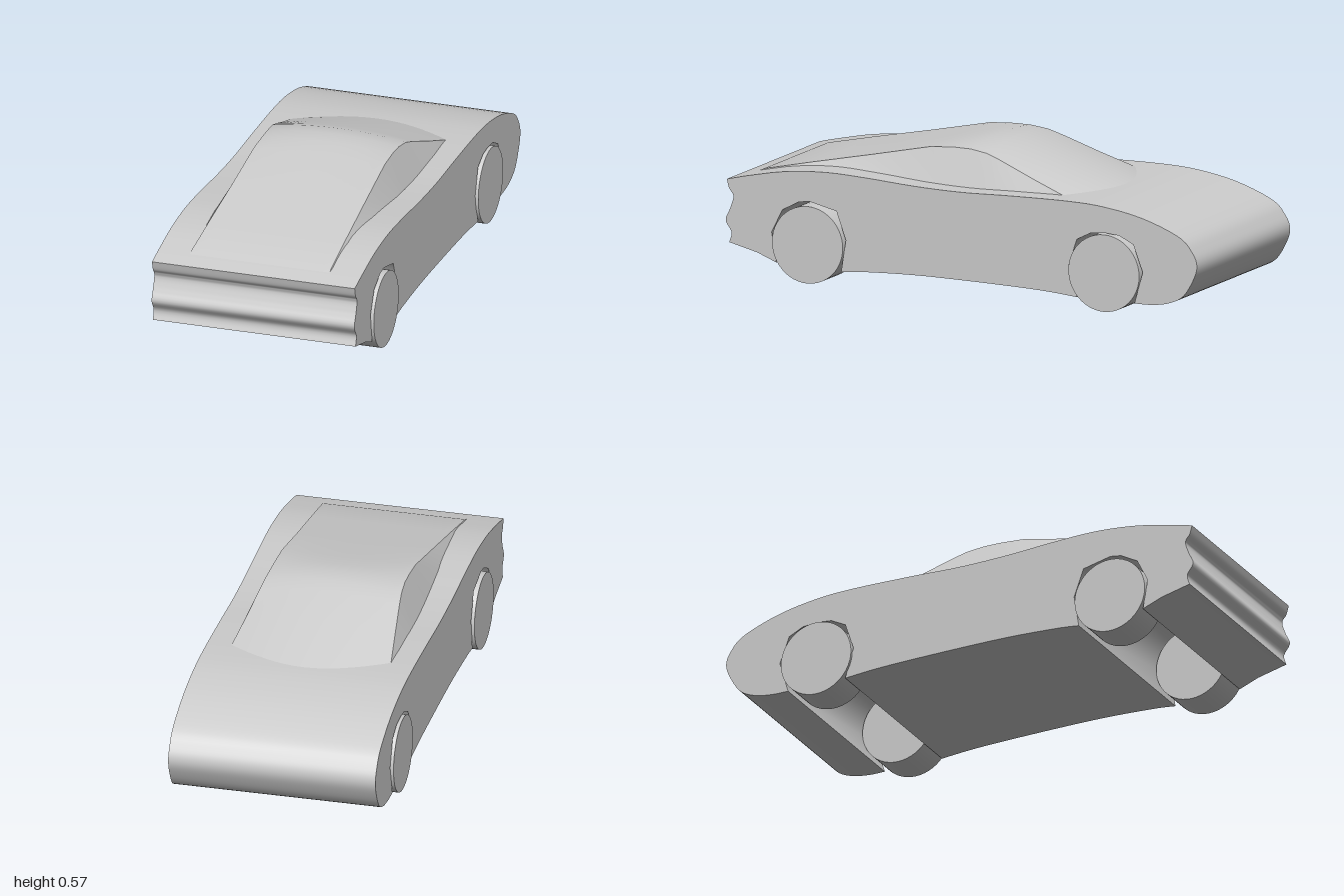
import * as THREE from 'three';
import { toCreasedNormals } from 'three/addons/utils/BufferGeometryUtils.js';

const material = new THREE.MeshStandardMaterial({ color: 0xcccccc });
const doubleSided = new THREE.MeshStandardMaterial({ color: 0xcccccc, side: THREE.DoubleSide });
const HALF_WIDTH = 0.408;

const points = (list) => list.map(([a, b]) => new THREE.Vector2(a, b));

// Side profile (z, y) with wheel arches, extruded across the width
function bodyGeometry() {
  const shape = new THREE.Shape();
  const lines = (list) => list.forEach(([a, b]) => shape.lineTo(a, b));
  const spline = (list) => shape.splineThru(points(list));

  shape.moveTo(0.995, 0.375);
  // ribbed tail
  spline([[0.985, 0.34], [0.967, 0.31], [0.982, 0.26], [1, 0.215], [0.975, 0.17], [0.985, 0.13]]);
  // rear valance and rear arch
  lines([[0.865, 0.1], [0.785, 0.068], [0.805, 0.185], [0.76, 0.275], [0.69, 0.312],
    [0.645, 0.318], [0.53, 0.29], [0.49, 0.18], [0.51, 0.055]]);
  // sill
  spline([[0.4, 0.064], [0.14, 0.07], [-0.29, 0.06], [-0.49, 0.045]]);
  // front arch
  lines([[-0.455, 0.165], [-0.49, 0.27], [-0.55, 0.3], [-0.61, 0.305], [-0.67, 0.3],
    [-0.73, 0.27], [-0.77, 0.165], [-0.735, 0.042]]);
  // nose, bonnet and shoulder line
  spline([[-0.8, 0.042], [-0.875, 0.053], [-0.94, 0.085], [-0.985, 0.155], [-1, 0.21],
    [-0.98, 0.26], [-0.925, 0.315], [-0.775, 0.373], [-0.61, 0.405], [-0.45, 0.415],
    [-0.2, 0.414], [0, 0.41], [0.2, 0.416], [0.4, 0.43], [0.58, 0.437], [0.75, 0.425],
    [0.9, 0.397], [0.995, 0.375]]);

  const geometry = new THREE.ExtrudeGeometry(shape, {
    depth: 2 * HALF_WIDTH, bevelEnabled: false, curveSegments: 4,
  });
  geometry.rotateY(-Math.PI / 2);
  geometry.translate(HALF_WIDTH, 0, 0);
  return toCreasedNormals(geometry, 1.2);
}

// Cabin: crowned cross-sections [z, roof half width, base half width, edge y, centre y]
function cabinGeometry() {
  const sections = [
    [-0.54, 0.325, 0.326, 0.355, 0.4],
    [-0.4, 0.316, 0.325, 0.41, 0.447],
    [-0.25, 0.295, 0.323, 0.463, 0.496],
    [-0.1, 0.275, 0.321, 0.52, 0.544],
    [-0.04, 0.268, 0.32, 0.54, 0.561],
    [0.03, 0.263, 0.319, 0.55, 0.568],
    [0.1, 0.262, 0.318, 0.551, 0.562],
    [0.2, 0.263, 0.316, 0.545, 0.547],
    [0.45, 0.268, 0.313, 0.493, 0.494],
    [0.7, 0.275, 0.305, 0.443, 0.443],
    [0.9, 0.281, 0.29, 0.401, 0.401],
    [0.96, 0.283, 0.288, 0.375, 0.375],
  ];
  const steps = 16;
  const columns = steps + 3;
  const position = [];
  const index = [];
  sections.forEach(([z, top, base, edge, centre], i) => {
    const baseY = Math.min(0.4, edge - 0.025);
    position.push(-base, baseY, z);
    for (let k = 0; k <= steps; k++) {
      const s = (2 * k) / steps - 1;
      position.push(s * top, centre - (centre - edge) * s * s, z);
    }
    position.push(base, baseY, z);
    if (i === 0) return;
    for (let j = 0; j < columns - 1; j++) {
      const a = (i - 1) * columns + j;
      const b = a + columns;
      index.push(a, b, a + 1, b, b + 1, a + 1);
    }
  });
  const geometry = new THREE.BufferGeometry();
  geometry.setAttribute('position', new THREE.Float32BufferAttribute(position, 3));
  geometry.setIndex(index);
  return toCreasedNormals(geometry, 0.5);
}

export function createModel() {
  const car = new THREE.Group();
  car.name = 'car';

  const add = (name, geometry, mat = material) => {
    const mesh = new THREE.Mesh(geometry, mat);
    mesh.name = name;
    car.add(mesh);
    return mesh;
  };

  add('body', bodyGeometry());
  add('cabin', cabinGeometry(), doubleSided);

  // Four plain disc wheels
  const wheel = new THREE.CylinderGeometry(0.15, 0.15, 0.15, 48).rotateZ(Math.PI / 2);
  for (const [end, z] of [['nose', -0.61], ['tail', 0.648]]) {
    for (const side of [-1, 1]) {
      add(`${end}${side > 0 ? 'Left' : 'Right'}Wheel`, wheel).position.set(side * 0.344, 0.15, z);
    }
  }
  return car;
}
